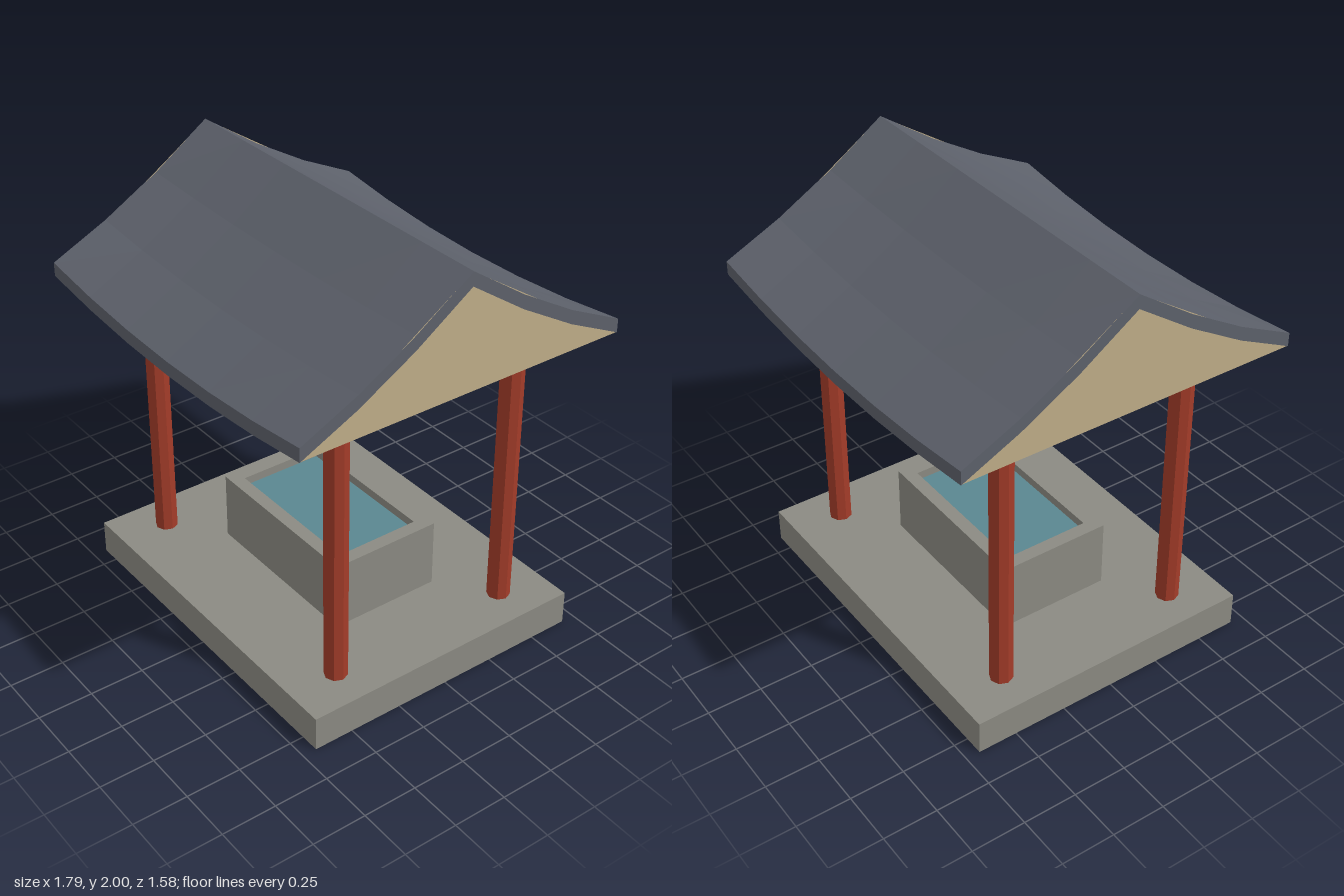
import * as THREE from 'three';

const material = (name, color, extra = {}) => {
  const m = new THREE.MeshStandardMaterial({ color, ...extra });
  m.name = name;
  return m;
};

export function createModel() {
  const stone = material('stone', 0x8b8a82);
  const wood = material('red wood', 0xa33c29, { flatShading: true });
  const tile = material('roof tile', 0x5d616b, { flatShading: true });
  const plaster = material('gable plaster', 0xbfad88, { side: THREE.DoubleSide });
  const water = material('water', 0x5a8790);

  const model = new THREE.Group();
  model.name = 'waterPavilion';
  const add = (name, geometry, mat, x = 0, y = 0, z = 0) => {
    const mesh = new THREE.Mesh(geometry, mat);
    mesh.name = name;
    mesh.position.set(x, y, z);
    model.add(mesh);
    return mesh;
  };

  // Stone platform
  add('platform', new THREE.BoxGeometry(1.68, 0.16, 1.37), stone, 0, 0.08, 0);

  // Basin: rectangular stone wall with an open middle
  const rect = (shape, w, d) => {
    shape.moveTo(-w, -d);
    shape.lineTo(w, -d);
    shape.lineTo(w, d);
    shape.lineTo(-w, d);
    shape.closePath();
    return shape;
  };
  const wall = rect(new THREE.Shape(), 0.423, 0.265);
  wall.holes.push(rect(new THREE.Path(), 0.36, 0.202));
  const basin = new THREE.ExtrudeGeometry(wall, { depth: 0.32, bevelEnabled: false });
  basin.rotateX(-Math.PI / 2);
  add('basin', basin, stone, 0, 0.16, 0);
  add('water', new THREE.BoxGeometry(0.72, 0.02, 0.404), water, 0, 0.43, 0);

  // Four posts
  const post = new THREE.CylinderGeometry(0.052, 0.052, 1.315, 8);
  for (const x of [-0.66, 0.66])
    for (const z of [-0.45, 0.45]) add('post', post, wood, x, 0.8175, z);

  // Roof: a slab bent down from the ridge, with eaves that rise toward the ends
  const halfX = 0.893, halfZ = 0.79, thick = 0.063;
  const roof = new THREE.BoxGeometry(2 * halfX, thick, 2 * halfZ, 6, 1, 6);
  const p = roof.attributes.position;
  for (let i = 0; i < p.count; i++) {
    const u = p.getX(i) / halfX;
    const t = Math.abs(p.getZ(i)) / halfZ;
    const top = 2 - 0.525 * t - 0.032 * Math.sin(Math.PI * t) + 0.065 * u * u * t;
    p.setY(i, top + p.getY(i) - thick / 2);
  }
  roof.computeVertexNormals();
  add('roof', roof, tile);

  // Triangular gables closing the roof ends
  const triangle = new THREE.Shape();
  triangle.moveTo(-halfZ, 1.477);
  triangle.lineTo(halfZ, 1.477);
  triangle.lineTo(0, 1.998);
  triangle.closePath();
  const gable = new THREE.ShapeGeometry(triangle);
  for (const side of [-1, 1]) {
    add('gable', gable, plaster, side * (halfX - 0.003)).rotation.y = side * Math.PI / 2;
  }

  return model;
}
